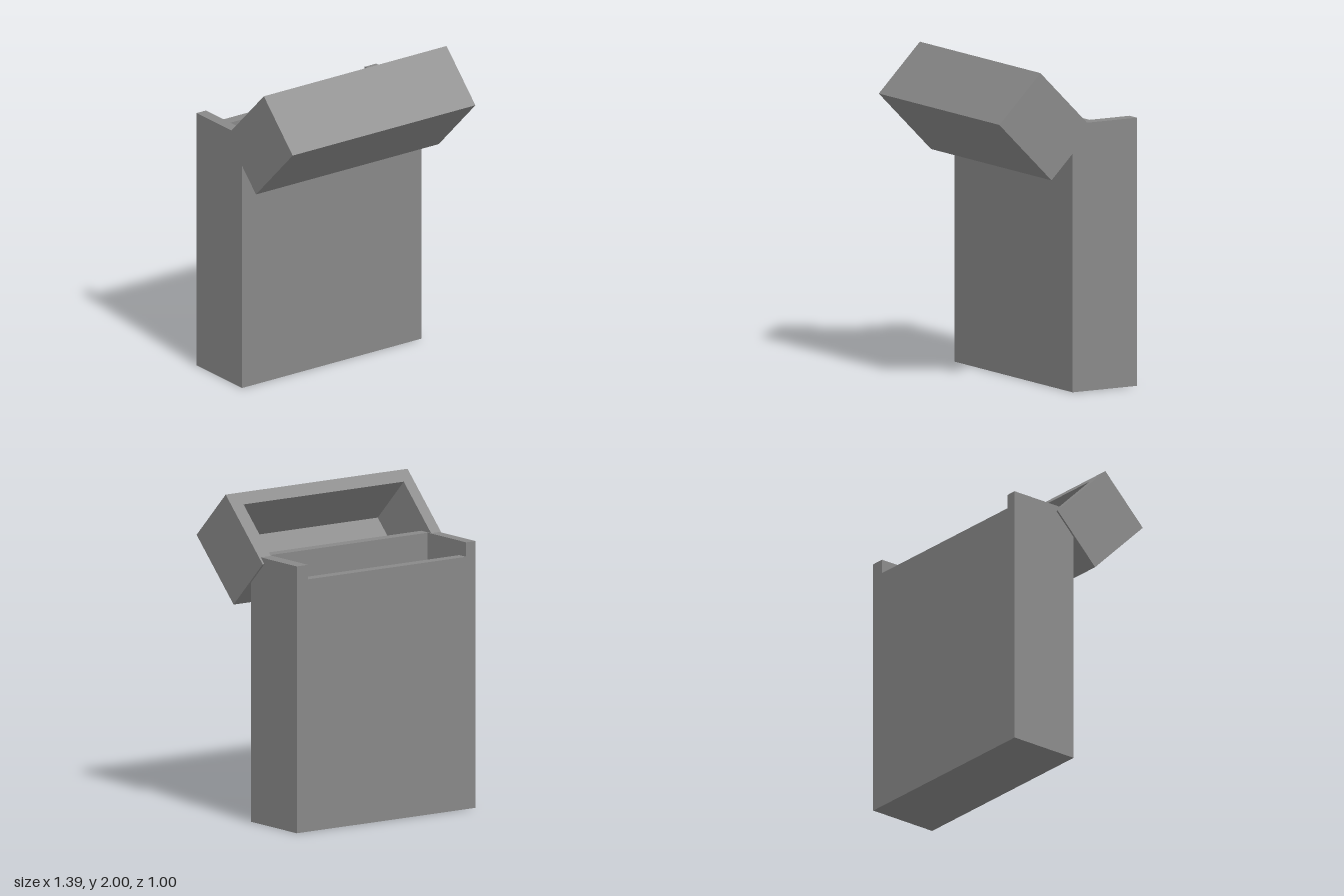
import * as THREE from 'three';
import { mergeGeometries } from 'three/addons/utils/BufferGeometryUtils.js';

const makeShape = (points) => new THREE.Shape(points.map(([z, y]) => new THREE.Vector2(z, y)));

// Flat end face of a (z, y) profile at x, facing sign * x
function endFace(points, x, sign) {
  const shape = makeShape(points.map(([z, y]) => [-sign * z, y]));
  return new THREE.ShapeGeometry(shape).toNonIndexed().rotateY(sign * Math.PI / 2).translate(x, 0, 0);
}

// Side walls of a (z, y) profile swept from x0 to x1, without end caps
function sweep(points, x0, x1) {
  const full = new THREE.ExtrudeGeometry(makeShape(points), { depth: x1 - x0, bevelEnabled: false });
  const { start, count } = full.groups[1];
  const walls = new THREE.BufferGeometry();
  for (const name of ['position', 'normal', 'uv']) {
    const { array, itemSize } = full.attributes[name];
    walls.setAttribute(name, new THREE.BufferAttribute(
      array.slice(start * itemSize, (start + count) * itemSize), itemSize));
  }
  return walls.rotateY(-Math.PI / 2).translate(x1, 0, 0);
}

// Open-topped tray with thick walls, its back wall cut lower between the sides
function tray({ x0, x1, inner0, inner1, depth, height, back, front, floor, notch }) {
  const outer = [[0, 0], [depth, 0], [depth, height], [0, height]];
  const zb = back, zf = depth - front, low = height - notch;
  const middle = [[0, 0], [depth, 0], [depth, height], [zf, height],
    [zf, floor], [zb, floor], [zb, low], [0, low]];
  const cavity = [[0, low], [zb, low], [zb, floor], [zf, floor], [zf, height], [0, height]];
  return mergeGeometries([
    sweep(middle, inner0, inner1),
    sweep(outer, x0, inner0),
    sweep(outer, inner1, x1),
    endFace(outer, x0, -1),
    endFace(outer, x1, 1),
    endFace(cavity, inner0, 1),
    endFace(cavity, inner1, -1),
  ]);
}

export function createModel() {
  const group = new THREE.Group();
  group.name = 'flipTopBox';
  const material = new THREE.MeshStandardMaterial({ color: 0x888888 });

  // Tall hollow body
  const body = new THREE.Mesh(tray({
    x0: -0.683, x1: 0.682, inner0: -0.612, inner1: 0.596,
    depth: 0.465, height: 1.66, back: 0.07, front: 0.075, floor: 0.06, notch: 0.09,
  }), material);
  body.name = 'body';
  body.position.z = -0.5;

  // Hollow lid, tipped open over the front edge
  const lid = new THREE.Mesh(tray({
    x0: -0.695, x1: 0.695, inner0: -0.619, inner1: 0.605,
    depth: 0.532, height: 0.418, back: 0.088, front: 0.088, floor: 0.045, notch: 0.09,
  }), material);
  lid.name = 'lid';
  lid.position.set(0, 1.328, 0.125);
  lid.rotation.x = -Math.PI / 4;

  group.add(body, lid);
  return group;
}
